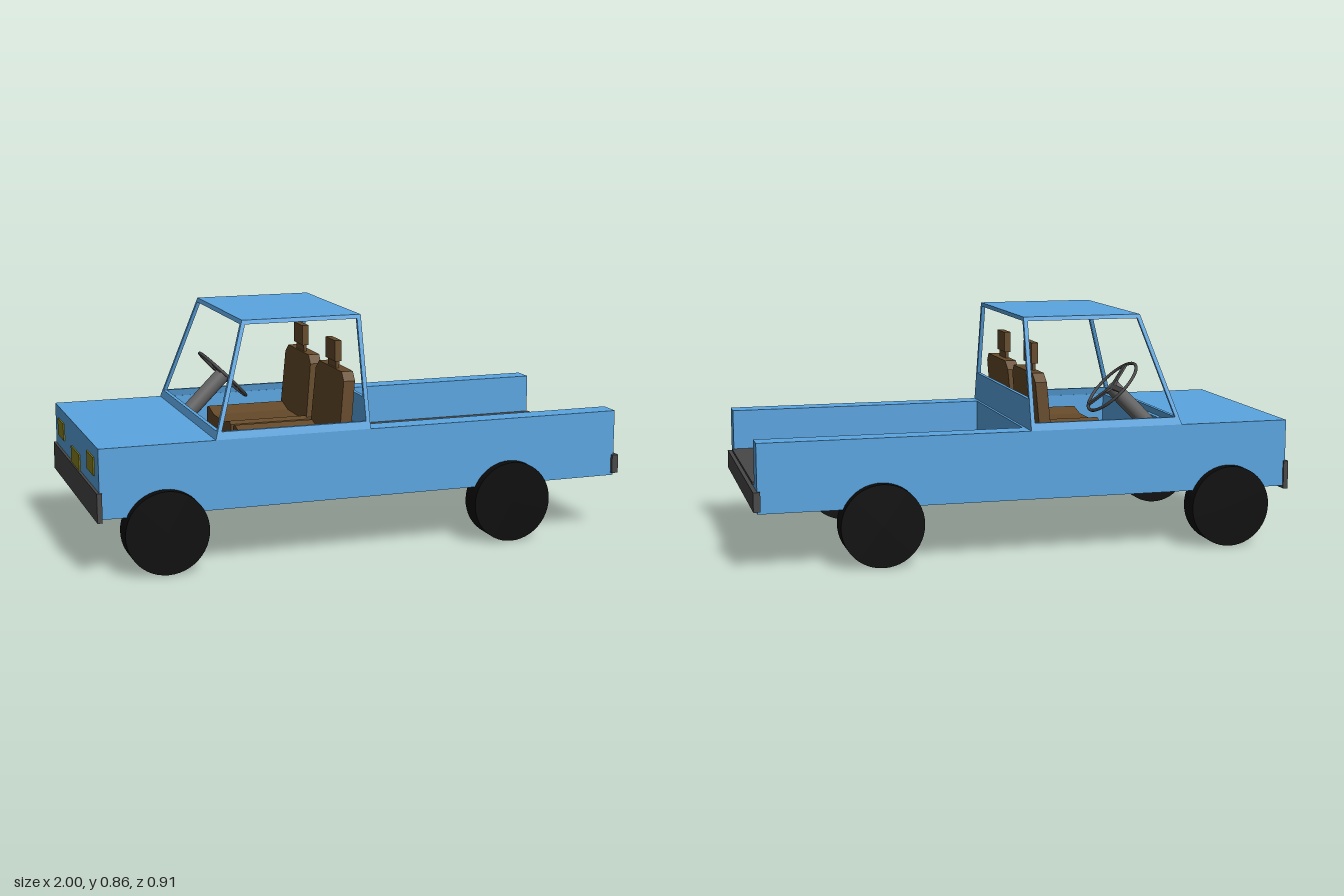
import * as THREE from 'three';

const mat = (color, extra = {}) => new THREE.MeshStandardMaterial({ color, ...extra });

export function createModel() {
  const truck = new THREE.Group();
  truck.name = 'pickupTruck';
  const blue = mat(0x5aa5e0);
  const blueFrame = mat(0x5aa5e0, { side: THREE.DoubleSide });
  const dark = mat(0x484848);
  const black = mat(0x0c0c0c);
  const brown = mat(0x654a2a);
  const yellow = mat(0x8a8420);
  const grey = mat(0x666666);

  const add = (name, geometry, material, parent = truck) => {
    const mesh = new THREE.Mesh(geometry, material);
    mesh.name = name;
    parent.add(mesh);
    return mesh;
  };
  // Box given by its limits on each axis
  const box = (name, material, [x0, x1], [y0, y1], [z0, z1], parent) => {
    const g = new THREE.BoxGeometry(x1 - x0, y1 - y0, z1 - z0);
    g.translate((x0 + x1) / 2, (y0 + y1) / 2, (z0 + z1) / 2);
    return add(name, g, material, parent);
  };

  // Lower body: hood, open cab tub and open-ended cargo bed
  const W = 0.42;
  box('hood', blue, [-0.99, -0.545], [0.21, 0.46], [-W, W]);
  box('cabFloor', blue, [-0.545, -0.015], [0.21, 0.225], [-W, W]);
  box('cabRearWall', blue, [-0.015, 0.01], [0.21, 0.46], [-W, W]);
  box('bedBase', blue, [0.01, 0.985], [0.21, 0.3], [-W, W]);
  box('bedFloor', dark, [0.01, 0.992], [0.3, 0.31], [-0.337, 0.337]);
  for (const s of [-1, 1]) {
    const span = (a, b) => (s > 0 ? [a, b] : [-b, -a]);
    box('cabSide', blue, [-0.545, -0.015], [0.225, 0.46], span(0.405, W));
    box('bedSide', blue, [0.01, 0.985], [0.3, 0.46], span(0.337, W));
  }

  // Cab pillars: slanted window frames, each an outer and inner loop with depth
  const zAt = (y) => 0.42 - 0.11 * (y - 0.46) / 0.4;
  const xAt = (y) => -0.575 + 0.13 * (y - 0.46) / 0.4;
  const frame = (name, outer, inner, inset) => {
    const shift = (loop) => loop.map((p) => p.map((v, i) => v + inset[i]));
    const outer2 = shift(outer), inner2 = shift(inner);
    const pos = [];
    for (let i = 0; i < 4; i++) {
      const j = (i + 1) % 4;
      for (const [a, b] of [[outer, inner], [inner, inner2], [inner2, outer2]]) {
        pos.push(...a[i], ...a[j], ...b[j], ...a[i], ...b[j], ...b[i]);
      }
    }
    const g = new THREE.BufferGeometry();
    g.setAttribute('position', new THREE.Float32BufferAttribute(pos, 3));
    g.computeVertexNormals();
    add(name, g, blueFrame);
  };
  const lo = 0.46, hi = 0.86, sill = 0.487, head = 0.845, bar = 0.017;
  // Trapezoid across the cab, symmetric in z
  const across = (x, y0, y1, trim) => [
    [x(y0), y0, -zAt(y0) + trim], [x(y0), y0, zAt(y0) - trim],
    [x(y1), y1, zAt(y1) - trim], [x(y1), y1, -zAt(y1) + trim],
  ];
  frame('windshieldFrame', across(xAt, lo, hi, 0), across(xAt, sill, head, bar), [0.014, 0, 0]);
  frame('rearWindowFrame', across(() => 0, lo, hi, 0), across(() => 0, 0.57, head, bar), [-0.014, 0, 0]);
  for (const s of [-1, 1]) {
    const side = (y0, y1, trim) => [
      [xAt(y0) + trim, y0, s * zAt(y0)], [-trim, y0, s * zAt(y0)],
      [-trim, y1, s * zAt(y1)], [xAt(y1) + trim, y1, s * zAt(y1)],
    ];
    frame('sideWindowFrame', side(lo, hi, 0), side(sill, head, 0.015), [0, 0, -s * 0.014]);
  }
  box('roof', blue, [-0.445, 0], [head, hi], [-0.31, 0.31]);

  // Bumpers, headlights and front plate
  box('frontBumper', dark, [-1, -0.982], [0.2, 0.305], [-0.428, 0.428]);
  box('rearBumper', dark, [0.975, 1], [0.22, 0.29], [-0.432, 0.432]);
  for (const z of [-0.29, 0.29]) {
    box('headlight', yellow, [-0.995, -0.985], [0.35, 0.415], [z - 0.06, z + 0.06]);
  }
  box('frontPlate', yellow, [-0.995, -0.985], [0.3, 0.365], [-0.08, 0.08]);

  // Wheels
  for (const x of [-0.76, 0.55]) {
    for (const s of [-1, 1]) {
      const wheel = add('wheel', new THREE.CylinderGeometry(0.15, 0.15, 0.09, 48), black);
      wheel.rotation.x = Math.PI / 2;
      wheel.position.set(x, 0.15, s * 0.41);
    }
  }

  // Seats: a profile across the seat, extruded along x
  const acrossSeat = (points, x0, x1) => {
    const shape = new THREE.Shape(points.map(([u, v]) => new THREE.Vector2(u, v)));
    return new THREE.ExtrudeGeometry(shape, { depth: x1 - x0, bevelEnabled: false })
      .rotateY(Math.PI / 2).translate(x0, 0, 0);
  };
  for (const z of [-0.19, 0.19]) {
    const seat = new THREE.Group();
    seat.name = 'seat';
    seat.position.z = z;
    truck.add(seat);
    add('seatCushion', acrossSeat([
      [-0.175, 0.27], [0.175, 0.27], [0.175, 0.415], [0.15, 0.424],
      [0.07, 0.405], [-0.07, 0.405], [-0.15, 0.424], [-0.175, 0.415],
    ], -0.4, -0.07), brown, seat);
    const back = acrossSeat([
      [-0.165, 0.36], [0.165, 0.36], [0.158, 0.625], [0.127, 0.655],
      [-0.127, 0.655], [-0.158, 0.625],
    ], -0.09, -0.047);
    // Lean the backrest rearward
    const p = back.attributes.position;
    for (let i = 0; i < p.count; i++) p.setX(i, p.getX(i) + 0.09 * (p.getY(i) - 0.49));
    back.computeVertexNormals();
    add('seatBack', back, brown, seat);
    box('headrestNeck', brown, [-0.068, -0.056], [0.65, 0.68], [-0.047, 0.047], seat);
    box('headrest', brown, [-0.075, -0.05], [0.68, 0.757], [-0.053, 0.053], seat);
  }

  // Steering wheel and column, tilted towards the driver
  const steering = new THREE.Group();
  steering.name = 'steering';
  steering.position.set(-0.381, 0.576, -0.19);
  steering.rotation.z = -Math.PI / 4;
  truck.add(steering);
  const rim = add('steeringWheelRim', new THREE.TorusGeometry(0.12, 0.006, 8, 40), dark, steering);
  rim.rotation.x = Math.PI / 2;
  for (let i = 0; i < 3; i++) {
    const spoke = box('steeringWheelSpoke', dark, [0, 0.12], [-0.004, 0.004], [-0.01, 0.01], steering);
    spoke.rotation.y = Math.PI / 2 + i * Math.PI * 2 / 3;
  }
  const column = add('steeringColumn', new THREE.CylinderGeometry(0.03, 0.03, 0.23, 24), grey, steering);
  column.position.y = -0.112;
  return truck;
}
